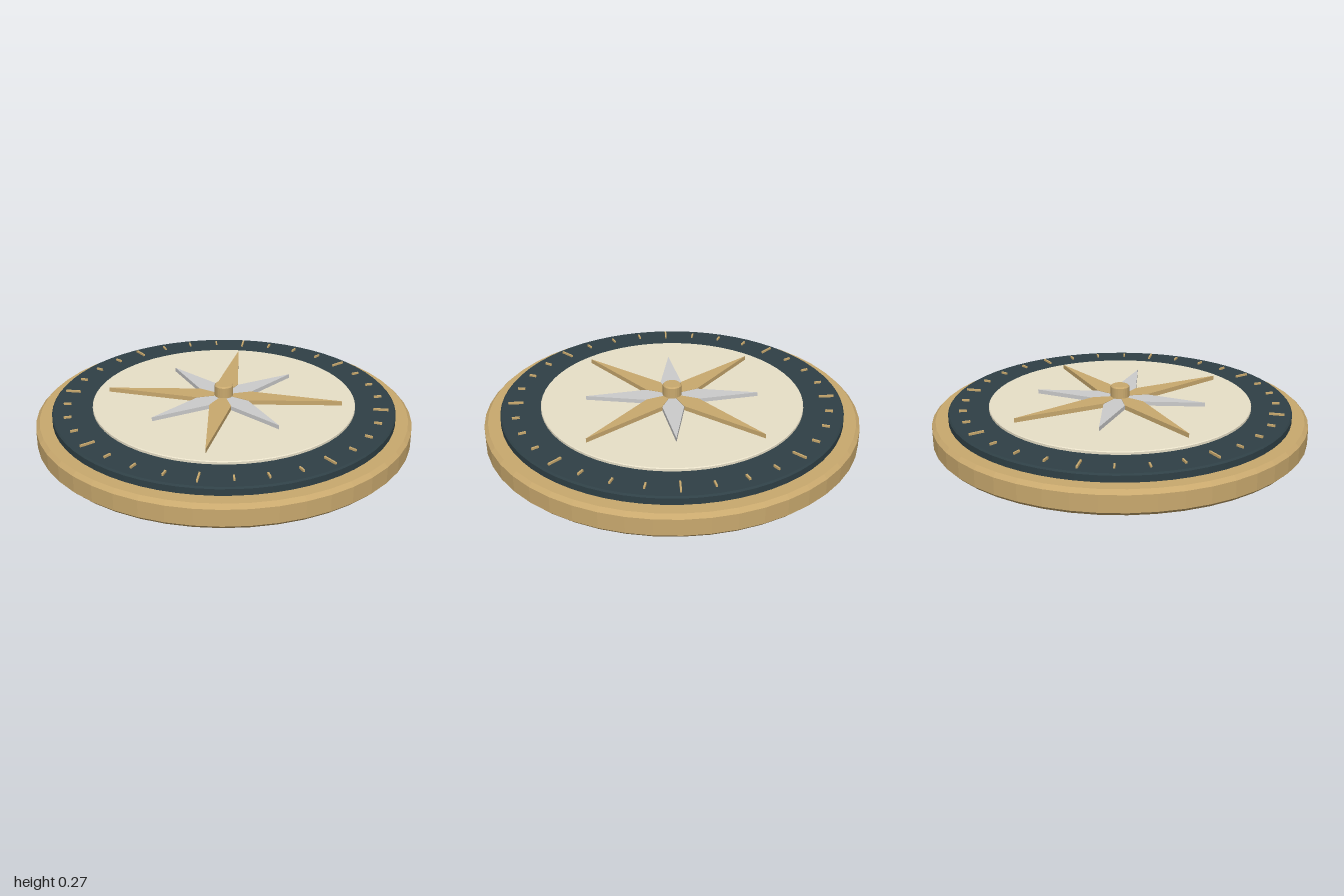
import * as THREE from 'three';

const paint = (color) => new THREE.MeshStandardMaterial({ color, flatShading: true });

export function createModel() {
  const model = new THREE.Group();
  const gold = paint(0xc9a96e), dark = paint(0x2f4046), ivory = paint(0xe8e0c8), silver = paint(0xcccccc);

  const add = (name, geometry, material) => {
    const mesh = new THREE.Mesh(geometry, material);
    mesh.name = name;
    model.add(mesh);
    return mesh;
  };

  // Solid disc with chamfered edges: radius, bottom, top, lower and upper chamfer
  const disc = (r, y0, y1, low, high, sides) => new THREE.LatheGeometry([
    [0, y0], [r - low, y0], [r, y0 + low], [r, y1 - high], [r - high, y1], [0, y1],
  ].filter((p, i) => !(i === 2 && low === 0)).map(([x, y]) => new THREE.Vector2(x, y)), sides);

  add('baseCase', disc(1, 0, 0.128, 0.02, 0.02, 48), gold);
  add('darkDial', disc(0.913, 0.12, 0.17, 0, 0.008, 64), dark);
  add('ivoryFace', disc(0.7, 0.165, 0.186, 0, 0.004, 64), ivory);

  // Degree marks: 32 around the dial, longer at every eighth turn
  for (let i = 0; i < 32; i++) {
    const a = (i / 32) * Math.PI * 2;
    const major = i % 4 === 0;
    const mark = add(major ? 'majorMark' : 'minorMark',
      new THREE.BoxGeometry(major ? 0.08 : 0.04, 0.014, 0.009), gold);
    mark.position.set(Math.cos(a) * 0.835, 0.174, -Math.sin(a) * 0.835);
    mark.rotation.y = a;
  }

  // Star: eight kite-shaped points that meet at the centre
  const inner = 0.15, half = Math.PI / 8;
  const kite = (tip) => {
    const x = inner * Math.cos(half), y = inner * Math.sin(half);
    const shape = new THREE.Shape([[0, 0], [x, -y], [tip, 0], [x, y]].map((p) => new THREE.Vector2(...p)));
    return new THREE.ExtrudeGeometry(shape, { depth: 0.024, bevelEnabled: false }).rotateX(-Math.PI / 2);
  };
  const longPoint = kite(0.63), shortPoint = kite(0.46);
  for (let i = 0; i < 8; i++) {
    const main = i % 2 === 0;
    const point = add(main ? 'mainStarPoint' : 'diagonalStarPoint',
      main ? longPoint : shortPoint, main ? gold : silver);
    point.position.y = main ? 0.186 : 0.184;
    point.rotation.y = (i * Math.PI) / 4;
  }

  add('centrePin', disc(0.05, 0.18, 0.272, 0, 0.007, 24), gold);
  return model;
}
